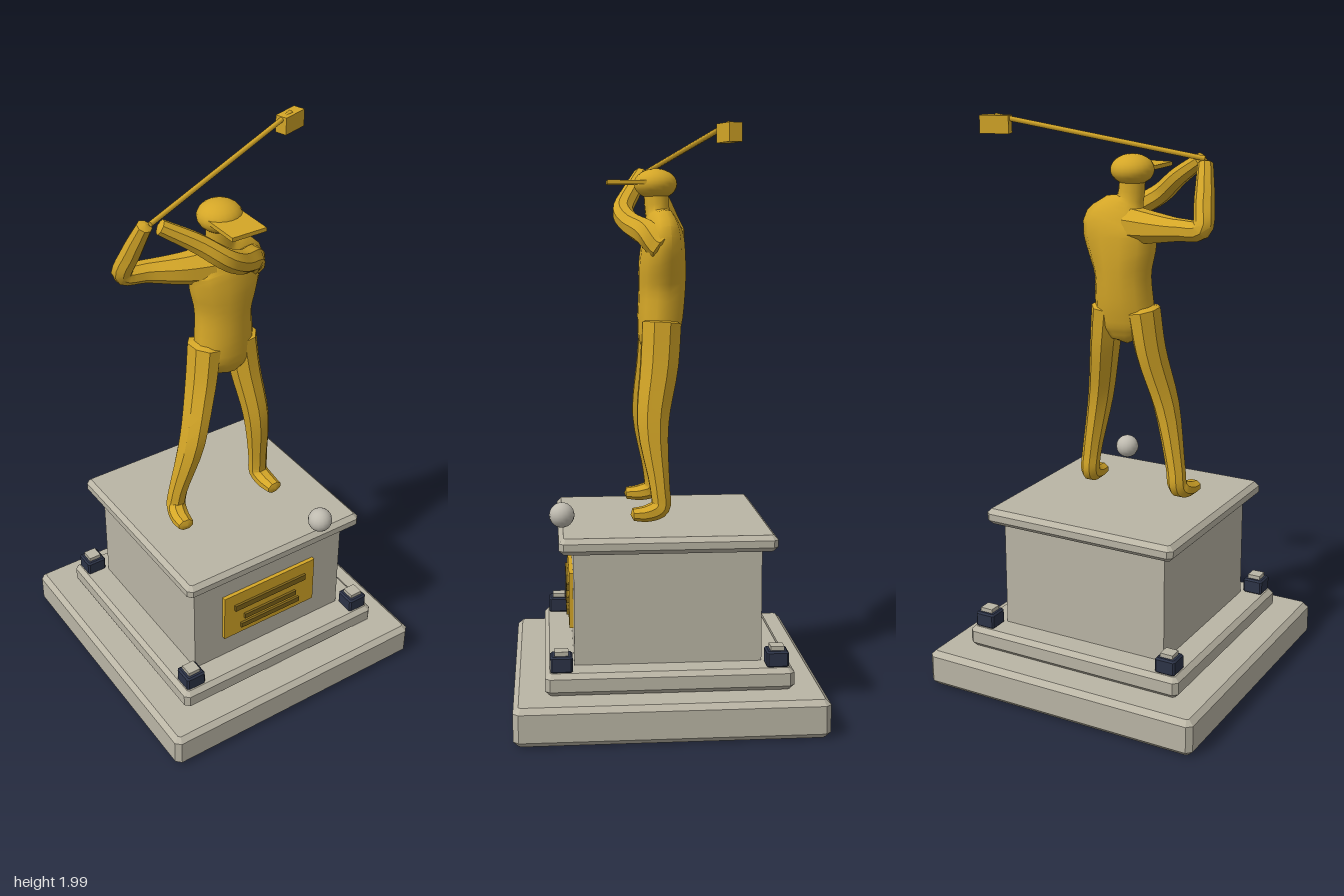
import * as THREE from 'three';
import { toCreasedNormals } from 'three/addons/utils/BufferGeometryUtils.js';

const material = (name, color) => {
  const m = new THREE.MeshStandardMaterial({ color });
  m.name = name;
  return m;
};

// Box with 45 degree chamfers on every edge, standing on y = 0
function chamferBox(w, h, d, b) {
  const x = w / 2, z = d / 2;
  const outline = [[x, z - b], [x - b, z], [b - x, z], [-x, z - b], [-x, b - z], [b - x, -z], [x - b, -z], [x, b - z]];
  const shape = new THREE.Shape(outline.map(([px, py]) => new THREE.Vector2(px, py)));
  const g = new THREE.ExtrudeGeometry(shape, {
    depth: h - 2 * b, bevelEnabled: true, bevelSegments: 1, bevelSize: b, bevelThickness: b, bevelOffset: -b,
  });
  return g.rotateX(-Math.PI / 2).translate(0, b, 0);
}

// Skin along a path of [x, y, z, radiusU, radiusV] with domed ends
function limb(points, ref, sides, steps, crease) {
  const curve = new THREE.CatmullRomCurve3(points.map(p => new THREE.Vector3(p[0], p[1], p[2])));
  const radii = new THREE.CatmullRomCurve3(points.map(p => new THREE.Vector3(p[3], p[4] ?? p[3], 0)));
  const pos = [], idx = [];
  for (let i = 0; i <= steps; i++) {
    const t = i / steps;
    const c = curve.getPoint(t), r = radii.getPoint(t), dir = curve.getTangent(t);
    const u = ref.clone().cross(dir).normalize(), v = dir.clone().cross(u);
    for (let j = 0; j < sides; j++) {
      const a = (j + 0.5) / sides * Math.PI * 2;
      const p = c.clone().addScaledVector(u, r.x * Math.cos(a)).addScaledVector(v, r.y * Math.sin(a));
      pos.push(p.x, p.y, p.z);
      if (i < steps) {
        const k = i * sides + j, n = i * sides + (j + 1) % sides;
        idx.push(k, n, n + sides, k, n + sides, k + sides);
      }
    }
  }
  for (const t of [0, 1]) {
    const r = radii.getPoint(t).x;
    const tip = curve.getPoint(t).addScaledVector(curve.getTangent(t), (t ? 0.4 : -0.4) * r);
    const apex = pos.length / 3, first = t * steps * sides;
    pos.push(tip.x, tip.y, tip.z);
    for (let j = 0; j < sides; j++) {
      const a = first + j, b = first + (j + 1) % sides;
      idx.push(...(t ? [apex, a, b] : [apex, b, a]));
    }
  }
  const g = new THREE.BufferGeometry();
  g.setAttribute('position', new THREE.Float32BufferAttribute(pos, 3));
  g.setIndex(idx);
  return toCreasedNormals(g, crease);
}

export function createModel() {
  const root = new THREE.Group();
  root.name = 'golferTrophy';
  const gold = material('gold', 0xd4a627);
  const stone = material('stone', 0xbab5a5);
  const navy = material('navy', 0x2c3347);
  const bronze = material('bronze', 0x80651a);
  const pearl = material('pearl', 0xbfbbb0);

  const add = (name, geometry, mat, x = 0, y = 0, z = 0, parent = root) => {
    const m = new THREE.Mesh(geometry, mat);
    m.name = name;
    m.position.set(x, y, z);
    parent.add(m);
    return m;
  };

  // Stepped pedestal
  add('basePlinth', chamferBox(1.04, 0.13, 1.04, 0.018), stone, 0, 0.005);
  add('baseStep', chamferBox(0.83, 0.075, 0.83, 0.016), stone, 0, 0.137);
  add('pedestal', new THREE.BoxGeometry(0.632, 0.4, 0.632), stone, 0, 0.405);
  add('topSlab', chamferBox(0.73, 0.056, 0.73, 0.016), stone, 0, 0.597);

  // Corner studs with small caps
  for (const sx of [-1, 1]) for (const sz of [-1, 1]) {
    add('cornerStud', chamferBox(0.074, 0.056, 0.074, 0.006), navy, sx * 0.36, 0.21, sz * 0.36);
    add('cornerStudCap', new THREE.BoxGeometry(0.046, 0.02, 0.046), stone, sx * 0.36, 0.27, sz * 0.36);
  }

  // Plaque with engraved bars
  add('plaque', new THREE.BoxGeometry(0.39, 0.192, 0.016), gold, -0.003, 0.4, 0.322);
  for (const [w, y, h] of [[0.306, 0.435, 0.024], [0.224, 0.379, 0.02], [0.254, 0.341, 0.02]]) {
    add('plaqueBar', new THREE.BoxGeometry(w, h, 0.009), bronze, -0.003, y, 0.334);
  }

  // Ball
  add('ball', new THREE.SphereGeometry(0.043, 16, 12), pearl, 0.191, 0.7, 0.352);

  // Golfer body
  const golfer = new THREE.Group();
  golfer.name = 'golfer';
  root.add(golfer);
  const X = new THREE.Vector3(1, 0, 0), Z = new THREE.Vector3(0, 0, 1);
  add('torso', limb([
    [0.005, 1.235, 0.01, 0.06, 0.05],
    [0.008, 1.28, 0.01, 0.115, 0.07],
    [0.011, 1.36, 0.003, 0.108, 0.08],
    [0.013, 1.45, -0.003, 0.103, 0.082],
    [0.018, 1.54, -0.004, 0.126, 0.082],
    [0.022, 1.62, -0.006, 0.14, 0.074],
    [0.008, 1.675, 0, 0.098, 0.058],
    [-0.008, 1.715, 0.01, 0.048, 0.043],
    [-0.015, 1.8, 0.015, 0.044, 0.044],
  ], Z, 12, 24, 0.9), gold, 0, 0, 0, golfer);

  // Legs share heights and depths, the stance differs side to side
  const stances = {
    rightLeg: [-0.065, -0.087, -0.138, -0.188, -0.198, -0.21, -0.215],
    leftLeg: [0.075, 0.093, 0.126, 0.154, 0.158, 0.163, 0.166],
  };
  const legRows = [
    [1.34, 0.003, 0.072, 0.055], [1.2, 0.012, 0.07, 0.05], [1.0, 0.037, 0.058, 0.043], [0.78, 0.015, 0.036, 0.034],
    [0.715, 0.014, 0.035, 0.034], [0.695, 0.055, 0.03, 0.035], [0.692, 0.108, 0.022, 0.03],
  ];
  for (const [name, xs] of Object.entries(stances)) {
    add(name, limb(legRows.map((r, i) => [xs[i], ...r]), X, 8, 24, 0.6), gold, 0, 0, 0, golfer);
  }

  // Arms raised in the backswing
  add('rightArm', limb([
    [-0.03, 1.63, -0.01, 0.065], [-0.13, 1.632, -0.035, 0.052], [-0.24, 1.64, -0.07, 0.038],
    [-0.318, 1.65, -0.08, 0.035], [-0.308, 1.74, -0.04, 0.034], [-0.285, 1.85, 0.012, 0.026],
  ], Z, 8, 22, 0.6), gold, 0, 0, 0, golfer);
  add('leftArm', limb([
    [0.115, 1.6, 0.0, 0.055], [0.09, 1.64, 0.045, 0.047], [0.015, 1.675, 0.1, 0.04],
    [-0.06, 1.72, 0.127, 0.037], [-0.15, 1.79, 0.09, 0.033], [-0.252, 1.855, 0.05, 0.026],
  ], Z, 8, 22, 0.6), gold, 0, 0, 0, golfer);

  // Cap and visor
  add('cap', new THREE.SphereGeometry(0.075, 20, 14).scale(1, 0.7, 1), gold, -0.013, 1.813, 0.016, golfer);
  add('visor', new THREE.BoxGeometry(0.128, 0.014, 0.15), gold, -0.013, 1.818, 0.109, golfer);

  // Club
  const grip = new THREE.Vector3(-0.275, 1.862, 0.03), tip = new THREE.Vector3(0.4, 1.988, -0.183);
  const shaft = add('clubShaft', new THREE.CylinderGeometry(0.009, 0.009, grip.distanceTo(tip), 8), gold, 0, 0, 0, golfer);
  shaft.position.copy(grip).lerp(tip, 0.5);
  shaft.quaternion.setFromUnitVectors(new THREE.Vector3(0, 1, 0), tip.clone().sub(grip).normalize());
  add('clubHead', new THREE.BoxGeometry(0.1, 0.06, 0.044), gold, 0.398, 1.96, -0.183, golfer).rotation.y = 0.3;

  return root;
}
